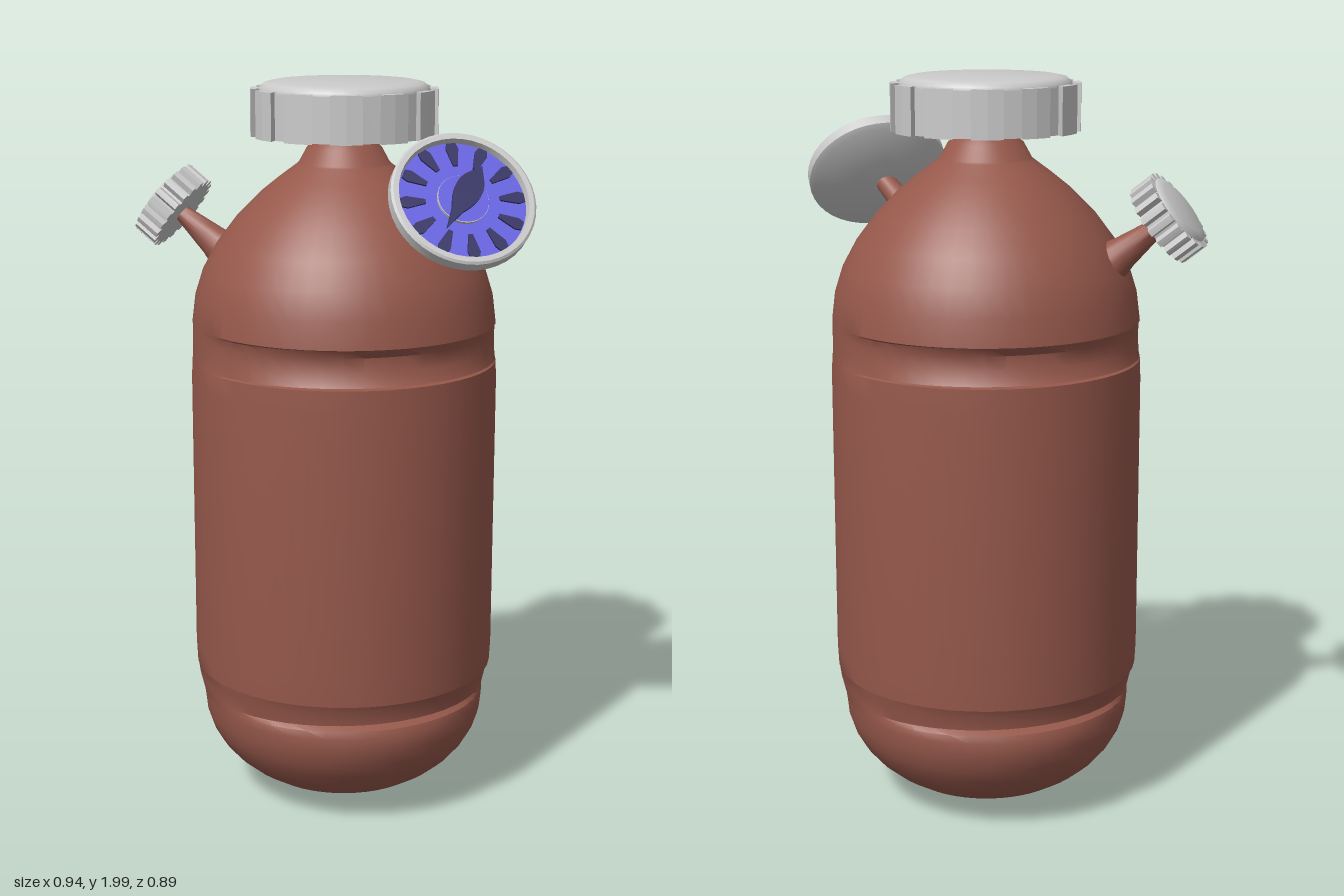
import * as THREE from 'three';
import { toCreasedNormals } from 'three/addons/utils/BufferGeometryUtils.js';

const V = (x, y, z) => new THREE.Vector3(x, y, z);

export function createModel() {
  const model = new THREE.Group();
  model.name = 'canteen';

  const material = (name, color) => {
    const m = new THREE.MeshStandardMaterial({ color });
    m.name = name;
    return m;
  };
  const brown = material('reddish brown', 0x96584b);
  const grey = material('light grey', 0xcacaca);
  const blue = material('dial blue', 0x6561e2);
  const navy = material('dark navy', 0x302e63);

  const add = (parent, name, geometry, mat) => {
    const mesh = new THREE.Mesh(geometry, mat);
    mesh.name = name;
    parent.add(mesh);
    return mesh;
  };

  const lathe = (points, segments = 40, crease = 0.6) => toCreasedNormals(
    new THREE.LatheGeometry(points.map(([r, y]) => new THREE.Vector2(r, y)), segments), crease);

  // Lathe whose axis points along +z
  const latheZ = (points, segments, crease) => lathe(points, segments, crease).rotateX(Math.PI / 2);

  // Notched disc along +z; base and tip are the tooth widths as fractions of the pitch
  const gear = (teeth, inner, outer, base, tip, depth) => {
    const shape = new THREE.Shape();
    const pitch = Math.PI * 2 / teeth;
    for (let i = 0; i < teeth; i++) {
      const mid = (i + 0.5) * pitch;
      [[inner, -base], [outer, -tip], [outer, 0], [outer, tip], [inner, base]].forEach(([r, f], k) => {
        const a = mid + f * pitch / 2;
        const method = i + k === 0 ? 'moveTo' : 'lineTo';
        shape[method](r * Math.cos(a), r * Math.sin(a));
      });
    }
    shape.closePath();
    return new THREE.ExtrudeGeometry(shape, { depth, bevelEnabled: false });
  };

  // Tapered stem between two points
  const stem = (name, from, to, r0, r1) => {
    const dir = to.clone().sub(from);
    const len = dir.length();
    const mesh = add(model, name, lathe([
      [r0 * 1.7, -0.03], [r0 * 1.15, len * 0.25], [r0, len * 0.45], [r1, len],
    ], 16, 1), brown);
    mesh.position.copy(from);
    mesh.quaternion.setFromUnitVectors(V(0, 1, 0), dir.normalize());
  };

  // Bottle body: rows of [radius, height, z scale]; grooves are cut only front and back
  const rows = [];
  for (let i = 0; i <= 10; i++) {
    const a = i / 10 * Math.PI / 2;
    rows.push([0.392 * Math.sin(a), 0.29 - 0.28 * Math.cos(a), 1]);
  }
  rows.push(
    [0.395, 0.31, 0.97], [0.398, 0.32, 0.91], [0.408, 0.36, 0.9], [0.412, 0.39, 0.93],
    [0.413, 0.392, 1], [0.416, 0.45, 1], [0.416, 1.2, 1], [0.414, 1.253, 1],
    [0.414, 1.256, 0.96], [0.413, 1.29, 0.91], [0.413, 1.33, 0.91], [0.412, 1.352, 0.95], [0.412, 1.357, 1],
    [0.403, 1.43, 1], [0.381, 1.5, 1], [0.343, 1.57, 1], [0.29, 1.64, 1],
    [0.225, 1.705, 1], [0.175, 1.745, 1], [0.128, 1.78, 1],
    [0.122, 1.785, 1], [0.1, 1.825, 1], [0.06, 1.86, 1], [0.06, 1.9, 1]);
  const bodyGeometry = new THREE.LatheGeometry(rows.map(([r, y]) => new THREE.Vector2(r, y)), 48);
  const pos = bodyGeometry.attributes.position;
  for (let i = 0; i < pos.count; i++) pos.setZ(i, pos.getZ(i) * rows[i % rows.length][2]);
  add(model, 'body', toCreasedNormals(bodyGeometry, 0.6), brown).position.set(0.052, 0, -0.025);

  // Notched screw cap with a softly domed lid
  const cap = new THREE.Group();
  cap.name = 'cap';
  cap.position.set(0.052, 1.855, -0.025);
  cap.rotation.x = -Math.PI / 2;
  model.add(cap);
  add(cap, 'capGrip', gear(12, 0.227, 0.25, 0.42, 0.64, 0.125), grey);
  add(cap, 'capLid', latheZ([[0.227, 0.12], [0.226, 0.128], [0.213, 0.139], [0.19, 0.144], [0, 0.145]], 40, 1), grey);

  // Side valve: stem and ridged knob
  const axis = V(-0.65, 0.62, -0.43).normalize();
  const knob = new THREE.Group();
  knob.name = 'knob';
  knob.position.set(-0.36, 1.65, -0.31);
  knob.quaternion.setFromUnitVectors(V(0, 0, 1), axis);
  model.add(knob);
  add(knob, 'knobGrip', gear(20, 0.1, 0.116, 0.8, 0.45, 0.07).translate(0, 0, -0.04), grey);
  add(knob, 'knobFace', latheZ([[0.1, 0.028], [0.097, 0.034], [0.075, 0.041], [0, 0.044]], 32, 1), grey);
  stem('knobStem', knob.position.clone().addScaledVector(axis, -0.2),
    knob.position.clone().addScaledVector(axis, -0.03), 0.038, 0.022);

  // Pressure gauge, tilted up and forward
  const gauge = new THREE.Group();
  gauge.name = 'gauge';
  gauge.position.set(0.265, 1.715, 0.315);
  gauge.rotation.x = -0.656;
  model.add(gauge);
  add(gauge, 'gaugeCase', latheZ([
    [0, -0.045], [0.075, -0.043], [0.178, -0.018], [0.192, -0.01], [0.192, 0.02],
    [0.186, 0.025], [0.172, 0.025], [0.168, 0.004], [0, 0.004],
  ], 40, 0.5), grey);
  add(gauge, 'dial', new THREE.CircleGeometry(0.169, 40).translate(0, 0, 0.007), blue);

  // Twelve wedge-shaped dial marks
  const wedge = new THREE.Shape([[0.1, -0.006], [0.15, -0.017], [0.166, -0.012], [0.166, 0.012], [0.15, 0.017], [0.1, 0.006]]
    .map(([x, y]) => new THREE.Vector2(x, y)));
  const marks = new THREE.Group();
  marks.name = 'dialMarks';
  gauge.add(marks);
  const markGeometry = new THREE.ExtrudeGeometry(wedge, { depth: 0.006, bevelEnabled: false });
  for (let i = 0; i < 12; i++) {
    const mark = add(marks, 'dialMark', markGeometry, navy);
    mark.position.z = 0.006;
    mark.rotation.z = i * Math.PI / 6;
  }

  // Raised hub and teardrop needle
  add(gauge, 'hubRing', latheZ([[0.068, 0.006], [0.068, 0.015], [0, 0.015]], 32), grey);
  add(gauge, 'hubFace', new THREE.CircleGeometry(0.067, 32).translate(0, 0, 0.0165), blue);
  const drop = new THREE.Shape();
  drop.moveTo(-0.105, 0);
  drop.lineTo(-0.04, -0.016);
  drop.quadraticCurveTo(0.03, -0.052, 0.075, -0.022);
  drop.lineTo(0.11, 0);
  drop.lineTo(0.075, 0.022);
  drop.quadraticCurveTo(0.03, 0.052, -0.04, 0.016);
  drop.closePath();
  const needle = add(gauge, 'needle', new THREE.ExtrudeGeometry(drop, { depth: 0.008, bevelEnabled: false }), navy);
  needle.position.z = 0.017;
  needle.rotation.z = 0.93;
  stem('gaugeStem', V(0.19, 1.59, 0.17), V(0.25, 1.69, 0.288), 0.032, 0.028);

  return model;
}
